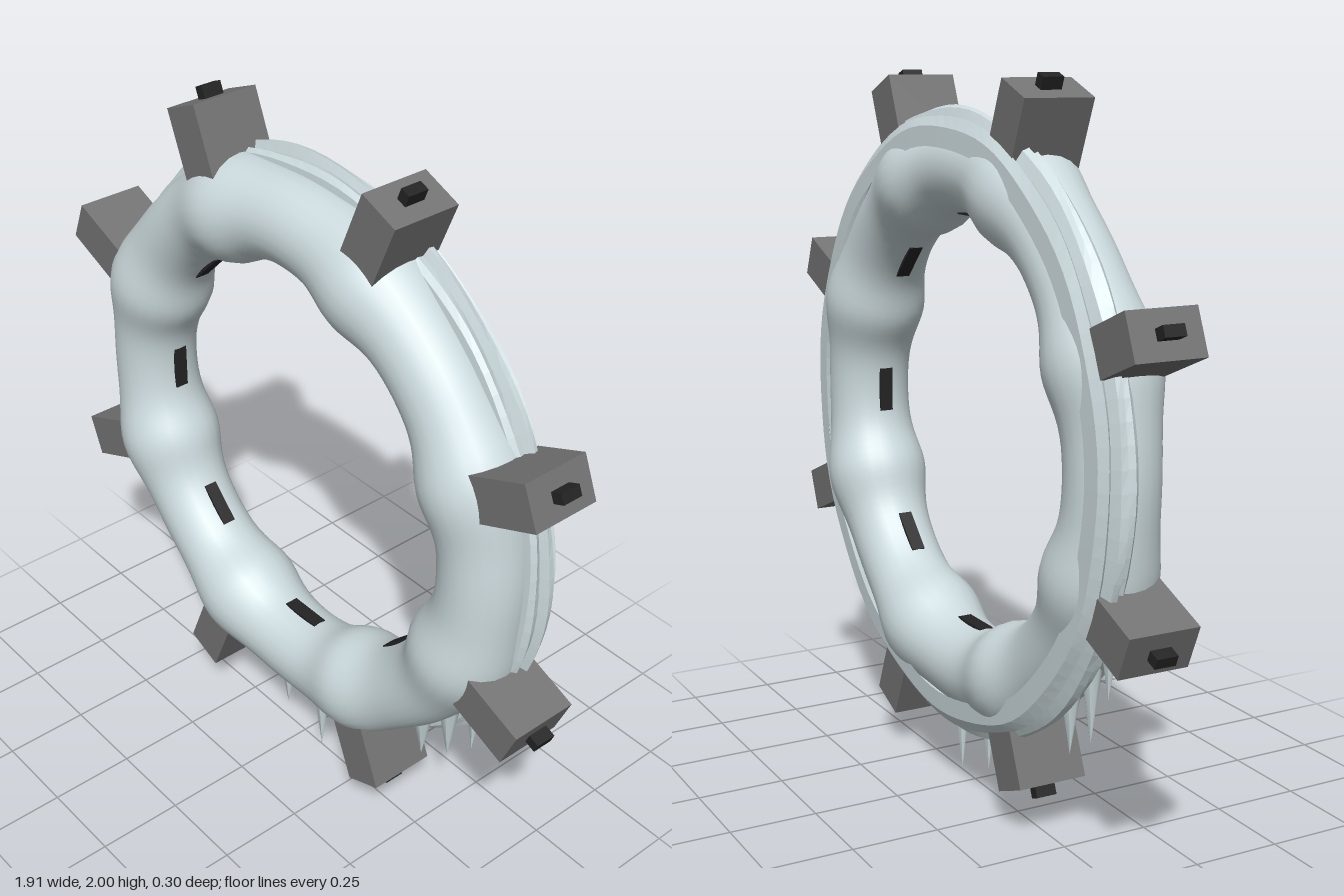
import * as THREE from 'three';
import { mergeVertices } from 'three/addons/utils/BufferGeometryUtils.js';

const CENTER_Y = 1.05;
const STEP = Math.PI / 4;

function material(name, color, extra = {}) {
  const m = new THREE.MeshStandardMaterial({ color, ...extra });
  m.name = name;
  return m;
}

// Rebuild smooth normals across seams after moving vertices
function smooth(geometry) {
  geometry.deleteAttribute('uv');
  geometry.deleteAttribute('normal');
  const merged = mergeVertices(geometry, 1e-4);
  merged.computeVertexNormals();
  return merged;
}

// Angular distance to the nearest clamp (22.5 degrees + 45 degrees * k)
function clampDistance(angle) {
  const t = (angle + Math.PI * 2) % STEP;
  return Math.abs(t - STEP / 2);
}

// Torus that swells into a rounded lump under each clamp
function ringBodyGeometry() {
  const R = 0.7, tube = 0.121;
  const geo = new THREE.TorusGeometry(R, tube, 24, 160);
  const p = geo.attributes.position;
  for (let i = 0; i < p.count; i++) {
    const x = p.getX(i), y = p.getY(i), z = p.getZ(i);
    const a = Math.atan2(y, x);
    const s = 1 + 0.24 * Math.exp(-Math.pow(clampDistance(a) / 0.16, 2));
    const r = R + (Math.hypot(x, y) - R) * s;
    p.setXYZ(i, r * Math.cos(a), r * Math.sin(a), z * s);
  }
  return smooth(geo);
}

// Ridged rim wrapped round the rear half of the ring
function rimGeometry() {
  const profile = [
    [0.76, -0.118], [0.815, -0.115], [0.842, -0.098], [0.832, -0.088],
    [0.86, -0.075], [0.865, -0.058], [0.842, -0.048], [0.85, -0.03],
    [0.838, -0.017], [0.79, -0.012],
  ].map(([r, z]) => new THREE.Vector2(r, z));
  const geo = new THREE.LatheGeometry(profile, 96);
  geo.rotateX(Math.PI / 2);
  const p = geo.attributes.position;
  for (let i = 0; i < p.count; i++) {
    const x = p.getX(i), y = p.getY(i);
    const a = Math.atan2(y, x);
    const k = 1 + 0.004 * Math.sin(a * 11 + p.getZ(i) * 60);
    p.setXY(i, x * k, y * k);
  }
  geo.computeVertexNormals();
  return geo;
}

export function createModel() {
  const ice = material('pale ice', 0xcddbde);
  const iceSheet = material('pale ice rim', 0xcddbde, { side: THREE.DoubleSide, flatShading: true });
  const metal = material('grey metal', 0x747474);
  const dark = material('dark metal', 0x242424);

  const model = new THREE.Group();
  model.name = 'frozenRing';
  const ring = new THREE.Group();
  ring.name = 'ring';
  ring.position.y = CENTER_Y;
  model.add(ring);

  const add = (parent, name, geo, mat, x = 0, y = 0, z = 0) => {
    const mesh = new THREE.Mesh(geo, mat);
    mesh.name = name;
    mesh.position.set(x, y, z);
    parent.add(mesh);
    return mesh;
  };

  add(ring, 'ringBody', ringBodyGeometry(), ice);
  add(ring, 'outerRim', rimGeometry(), iceSheet);

  // Eight clamp blocks with pegs, and inner slots halfway between them
  const blockGeo = new THREE.BoxGeometry(0.2, 0.125, 0.2);
  const pegGeo = new THREE.BoxGeometry(0.06, 0.03, 0.06);
  const slotGeo = new THREE.BoxGeometry(0.03, 0.13, 0.04);
  for (let i = 0; i < 8; i++) {
    const clamp = new THREE.Group();
    clamp.name = 'clamp';
    clamp.rotation.z = STEP * (i + 0.5);
    add(clamp, 'clampBlock', blockGeo, metal, 0.893);
    add(clamp, 'clampPeg', pegGeo, dark, 0.997);
    ring.add(clamp);

    const slot = new THREE.Group();
    slot.name = 'innerSlot';
    slot.rotation.z = STEP * i;
    add(slot, 'slotPlate', slotGeo, dark, 0.588);
    ring.add(slot);
  }

  // Icicles hanging from the lower half: [x, tip height]
  const icicles = [
    [-0.7, 0.48], [-0.62, 0.33], [-0.52, 0.27], [-0.24, 0.13], [-0.08, 0.06],
    [0.08, 0], [0.24, 0.12], [0.51, 0.29], [0.61, 0.36], [0.7, 0.45],
  ];
  for (const [x, tip] of icicles) {
    const base = CENTER_Y - Math.sqrt(0.81 ** 2 - x * x) + 0.02;
    const geo = new THREE.ConeGeometry(0.03, base - tip, 7);
    geo.rotateX(Math.PI);
    add(model, 'icicle', geo, ice, x, (base + tip) / 2, 0);
  }
  return model;
}
